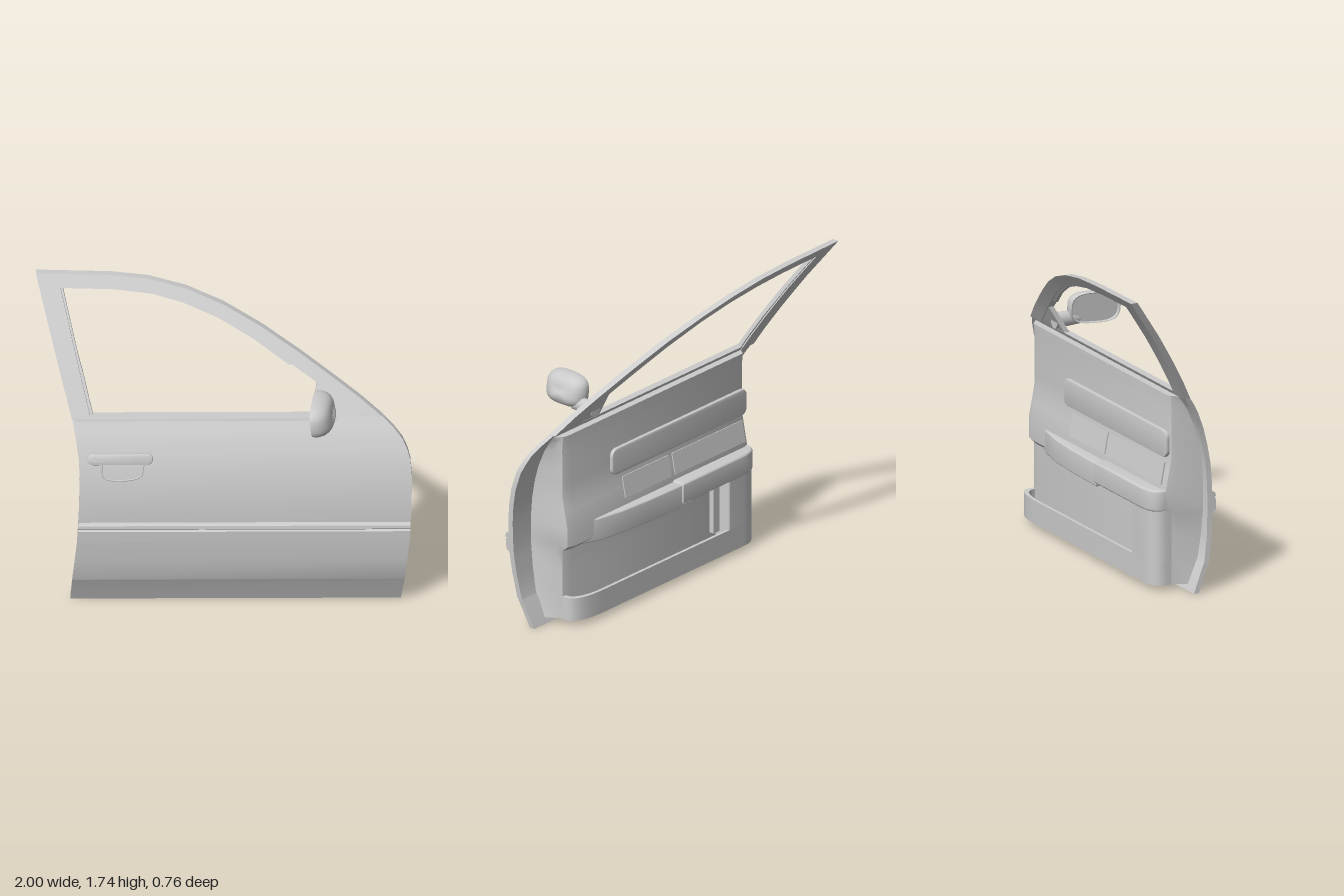
import * as THREE from 'three';
import { toCreasedNormals } from 'three/addons/utils/BufferGeometryUtils.js';

const mat = new THREE.MeshStandardMaterial({ color: 0xcccccc, side: THREE.DoubleSide });

// Linear lookup in a short table of [y, value]
function lookup(table, y) {
  for (let i = 1; i < table.length; i++) {
    const [a, va] = table[i - 1], [b, vb] = table[i];
    if (y <= b) return va + (vb - va) * (y - a) / (b - a);
  }
  return table[table.length - 1][1];
}

// Outer face depth, rear edge and front edge of the door by height
const DEPTH = [[0, 0.12], [0.145, 0.18], [0.165, 0.19], [0.3, 0.212], [0.45, 0.225], [0.6, 0.224], [0.7, 0.217],
  [0.8, 0.2], [0.9, 0.173], [1, 0.13], [1.05, 0.1], [1.1, 0.066], [1.2, 0.012], [1.33, -0.068], [1.5, -0.18], [1.74, -0.355]];
const REAR = [[0, -0.82], [0.15, -0.81], [0.4, -0.785], [0.6, -0.775], [0.8, -0.77], [0.9, -0.775], [1, -0.79], [1.1, -0.81]];
const FRONT = [[0, 0.935], [0.15, 0.955], [0.4, 0.98], [0.6, 0.99], [0.8, 0.995], [0.9, 0.985], [0.95, 0.97],
  [1, 0.945], [1.05, 0.9], [1.1, 0.84]];
const depth = y => lookup(DEPTH, y);
const rear = y => lookup(REAR, y);
const front = y => lookup(FRONT, y);

// Closed solid through a list of equal-length rings of [x, y, z]
function loft(rings, crease = 0.6) {
  const n = rings[0].length, pos = rings.flat(2), idx = [];
  for (let r = 0; r < rings.length - 1; r++) {
    for (let i = 0; i < n; i++) {
      const a = r * n + i, b = r * n + (i + 1) % n;
      idx.push(a, b, b + n, a, b + n, a + n);
    }
  }
  [0, rings.length - 1].forEach((r, end) => {
    const c = pos.length / 3;
    for (let k = 0; k < 3; k++) pos.push(rings[r].reduce((s, p) => s + p[k], 0) / n);
    for (let i = 0; i < n; i++) {
      const a = r * n + i, b = r * n + (i + 1) % n;
      if (end) idx.push(a, b, c); else idx.push(b, a, c);
    }
  });
  // Turn the faces outward if the enclosed volume is negative
  const v = i => new THREE.Vector3(pos[i * 3], pos[i * 3 + 1], pos[i * 3 + 2]);
  let volume = 0;
  for (let i = 0; i < idx.length; i += 3) volume += v(idx[i]).dot(v(idx[i + 1]).cross(v(idx[i + 2])));
  if (volume < 0) idx.reverse();
  const g = new THREE.BufferGeometry();
  g.setAttribute('position', new THREE.Float32BufferAttribute(pos, 3));
  g.setIndex(idx);
  return toCreasedNormals(g, crease);
}

// Horizontal band that follows the door face; steps are [y, offset]
const band = (steps, thick, x0 = rear, x1 = front) => loft(steps.map(([y, o]) => {
  const z = depth(y), f = z + o, b = z - thick;
  return [[x0(y), y, f], [x1(y), y, f], [x1(y), y, b], [x0(y), y, b]];
}));

// Strip between paired outer and inner outline points, bent onto the door face
const strip = (pairs, off, thick) => loft(pairs.map(([o, i]) => [
  [...o, depth(o[1]) + off], [...i, depth(i[1]) + off],
  [...i, depth(i[1]) + off - thick], [...o, depth(o[1]) + off - thick]]));

// Plan outline (x, z) with rounded inner corners
function plan(x0, x1, zOut, zIn, r0, r1) {
  const s = new THREE.Shape(), d0 = Math.min(r0, 0.085), d1 = Math.min(r1, 0.085);
  s.moveTo(x0, zOut);
  s.lineTo(x0, zIn + d0);
  s.quadraticCurveTo(x0, zIn, x0 + r0, zIn);
  s.lineTo(x1 - r1, zIn);
  s.quadraticCurveTo(x1, zIn, x1, zIn + d1);
  s.lineTo(x1, zOut);
  s.closePath();
  return s;
}

// Extrude a plan outline between two heights
function slab(shape, y0, y1, bevel = 0) {
  const g = new THREE.ExtrudeGeometry(shape, { depth: y1 - y0 - 2 * bevel, curveSegments: 10,
    bevelEnabled: bevel > 0, bevelSize: bevel, bevelThickness: bevel, bevelOffset: -bevel, bevelSegments: 4 });
  g.rotateX(Math.PI / 2).translate(0, y1 - bevel, 0);
  return toCreasedNormals(g, 0.6);
}

// Rounded rectangle in x, y
function pill(w, h, r) {
  const s = new THREE.Shape(), x = w / 2 - r, y = h / 2 - r;
  s.absarc(x, y, r, 0, Math.PI / 2);
  s.absarc(-x, y, r, Math.PI / 2, Math.PI);
  s.absarc(-x, -y, r, Math.PI, Math.PI * 1.5);
  s.absarc(x, -y, r, Math.PI * 1.5, Math.PI * 2);
  return s;
}

export function createModel() {
  const group = new THREE.Group();
  const add = (name, geo, parent = group) => {
    const m = new THREE.Mesh(geo, mat);
    m.name = name;
    parent.add(m);
    return m;
  };

  // Outer skin, side moulding and window sill strip
  const heights = [...new Set([...DEPTH, ...REAR, ...FRONT].map(p => p[0]))].filter(y => y <= 1.1).sort((a, b) => a - b);
  add('outerSkin', band(heights.map(y => [y, 0]), 0.03));
  add('sideMoulding', band([[0.425, 0], [0.437, 0.02], [0.495, 0.022], [0.503, 0.014], [0.511, 0.022],
    [0.53, 0.02], [0.54, 0]], 0.01));
  add('sillStrip', band([[1.085, 0.004], [1.095, 0.008], [1.108, 0.008]], 0.035, () => -0.795, () => 0.6));

  // Window frame: rear pillar, then roof rail down to the front corner
  const pillar = t => [[-0.81 - 0.19 * t, 1.09 + 0.65 * t], [-0.71 - 0.16 * t, 1.09 + 0.59 * t]];
  const roof = [[[-0.6, 1.732], [-0.6, 1.674]], [[-0.4, 1.715], [-0.4, 1.655]], [[-0.2, 1.672], [-0.21, 1.617]],
    [[0, 1.602], [-0.02, 1.55]], [[0.2, 1.507], [0.17, 1.456]], [[0.4, 1.392], [0.36, 1.34]],
    [[0.6, 1.267], [0.53, 1.235]], [[0.72, 1.188], [0.63, 1.165]], [[0.84, 1.098], [0.73, 1.098]]];
  const frame = [0, 0.15, 0.35, 0.5, 0.65, 0.85, 1].map(pillar).concat(roof);
  add('windowFrame', strip(frame, 0, 0.04));
  // Recessed seal inside the frame
  const centre = [-0.25, 1.3];
  const seal = frame.slice(0, 13).map(([, i]) => [i, i.map((c, k) => c + Math.sign(centre[k] - c) * (k ? 0.008 : 0.013))]);
  add('windowSeal', strip(seal, -0.012, 0.02));
  // Corner panel that carries the mirror
  add('mirrorPanel', strip([[[0.49, 1.27], [0.47, 1.09]], [[0.55, 1.225], [0.55, 1.09]],
    [[0.64, 1.16], [0.64, 1.09]], [[0.74, 1.1], [0.74, 1.09]]], -0.004, 0.03));

  // Mirror: domed housing with a recessed glass and a short arm
  const mirror = new THREE.Group();
  mirror.name = 'mirror';
  group.add(mirror);
  const ring = (x, s) => Array.from({ length: 32 }, (_, i) => {
    const a = i / 32 * Math.PI * 2, c = Math.cos(a), n = Math.sin(a);
    const z = Math.sign(c) * Math.abs(c) ** 0.65 * 0.143, y = Math.sign(n) * Math.abs(n) ** 0.65 * 0.09;
    return [x - 0.14 * z * s - 0.1 * y, 1.217 + y * s - 0.04 * z, 0.222 + z * s];
  });
  add('mirrorHousing', loft([[0.488, 0.9], [0.475, 0.92], [0.473, 0.97], [0.485, 1], [0.51, 0.99], [0.535, 0.92],
    [0.555, 0.8], [0.57, 0.62], [0.578, 0.38], [0.581, 0.12]].map(r => ring(...r)), 0.9), mirror);
  const arm = add('mirrorArm', new THREE.CylinderGeometry(0.038, 0.045, 0.15, 20), mirror);
  arm.rotation.x = Math.PI / 2;
  arm.scale.x = 0.8;
  arm.position.set(0.535, 1.163, 0.075);

  // Door handle, lock and finger recess rim, tilted with the skin
  const handle = new THREE.Group();
  handle.name = 'doorHandle';
  handle.position.set(-0.555, 0.905, depth(0.905));
  handle.rotation.x = -0.3;
  group.add(handle);
  const grip = new THREE.ExtrudeGeometry(pill(0.335, 0.052, 0.025), { depth: 0.012, bevelSize: 0.006,
    bevelThickness: 0.006, bevelSegments: 3, curveSegments: 8 });
  add('handleGrip', toCreasedNormals(grip, 0.8), handle).position.z = -0.006;
  const lock = add('lock', new THREE.CylinderGeometry(0.013, 0.013, 0.01, 20), handle);
  lock.rotation.x = Math.PI / 2;
  lock.position.set(-0.135, 0, 0.013);
  const rim = [[-0.1, 0.88], [-0.095, 0.815], [-0.07, 0.795], [0.07, 0.795], [0.11, 0.815], [0.125, 0.88]]
    .map(([x, y]) => new THREE.Vector3(x - 0.555, y, depth(y) - 0.001));
  add('fingerRecessRim', new THREE.TubeGeometry(new THREE.CatmullRomCurve3(rim, false, 'centripetal'), 40, 0.005, 8));

  // Inner trim panel with a sloped step above the armrest
  const INNER = [[0.03, 0.005], [0.42, 0.005], [0.45, -0.028], [0.56, -0.028], [0.73, 0.005], [1.08, 0.008]];
  const trimRing = y => {
    const zo = depth(y) - 0.02, zi = lookup(INNER, y), r = Math.min(0.05, (zo - zi) * 0.5);
    return [[-0.735, y, zo], [-0.71, y, zi + r], [-0.7, y, zi + r * 0.3], [-0.7 + r * 0.7, y, zi],
      [0.78 - r, y, zi], [0.785, y, zi + r * 0.3], [0.8, y, zi + r], [0.84, y, zo]];
  };
  add('innerPanel', loft([0.03, 0.15, 0.3, 0.42, 0.45, 0.56, 0.65, 0.73, 0.8, 0.9, 1, 1.05, 1.08].map(trimRing), 0.5));

  // Raised upper trim pad
  const pad = new THREE.ExtrudeGeometry(pill(1.1, 0.14, 0.035), { depth: 0.014, bevelSize: 0.005,
    bevelThickness: 0.005, bevelSegments: 2, curveSegments: 6 });
  add('upperPad', toCreasedNormals(pad, 0.6)).position.set(-0.145, 0.81, -0.008);
  // Pull cup plates above the armrest
  [[-0.38, 0.58], [0.13, 0.38]].forEach(([x, w]) => {
    const p = add('pullPlate', new THREE.BoxGeometry(w, 0.12, 0.012));
    p.position.set(x, 0.645, -0.012);
    p.rotation.x = 0.19;
  });

  // Armrest: padded rear half and a wedge that fades out toward the front
  add('armrestPad', slab(plan(-0.7, -0.07, 0.02, -0.1, 0.14, 0.005), 0.44, 0.56, 0.012));
  const wedge = new THREE.Shape([[-0.08, 0.02], [-0.08, -0.09], [0.2, -0.084], [0.4, -0.068], [0.56, -0.038], [0.7, 0.02]]
    .map(p => new THREE.Vector2(...p)));
  add('armrestWedge', slab(wedge, 0.42, 0.55, 0.008));

  // Storage pocket: floor, lip wall and rear column
  add('pocketFloor', slab(plan(-0.7, 0.79, 0.1, -0.09, 0.12, 0.22), 0.03, 0.055));
  const lip = plan(-0.7, 0.79, 0.02, -0.09, 0.12, 0.22);
  lip.holes.push(plan(-0.46, 0.765, 0.012, -0.072, 0.01, 0.21));
  add('pocketLip', slab(lip, 0.05, 0.16));
  add('pocketColumn', slab(plan(-0.7, -0.46, 0.02, -0.09, 0.12, 0.01), 0.155, 0.45));
  add('pocketDivider', new THREE.BoxGeometry(0.06, 0.3, 0.04)).position.set(-0.44, 0.29, -0.005);

  return group;
}
